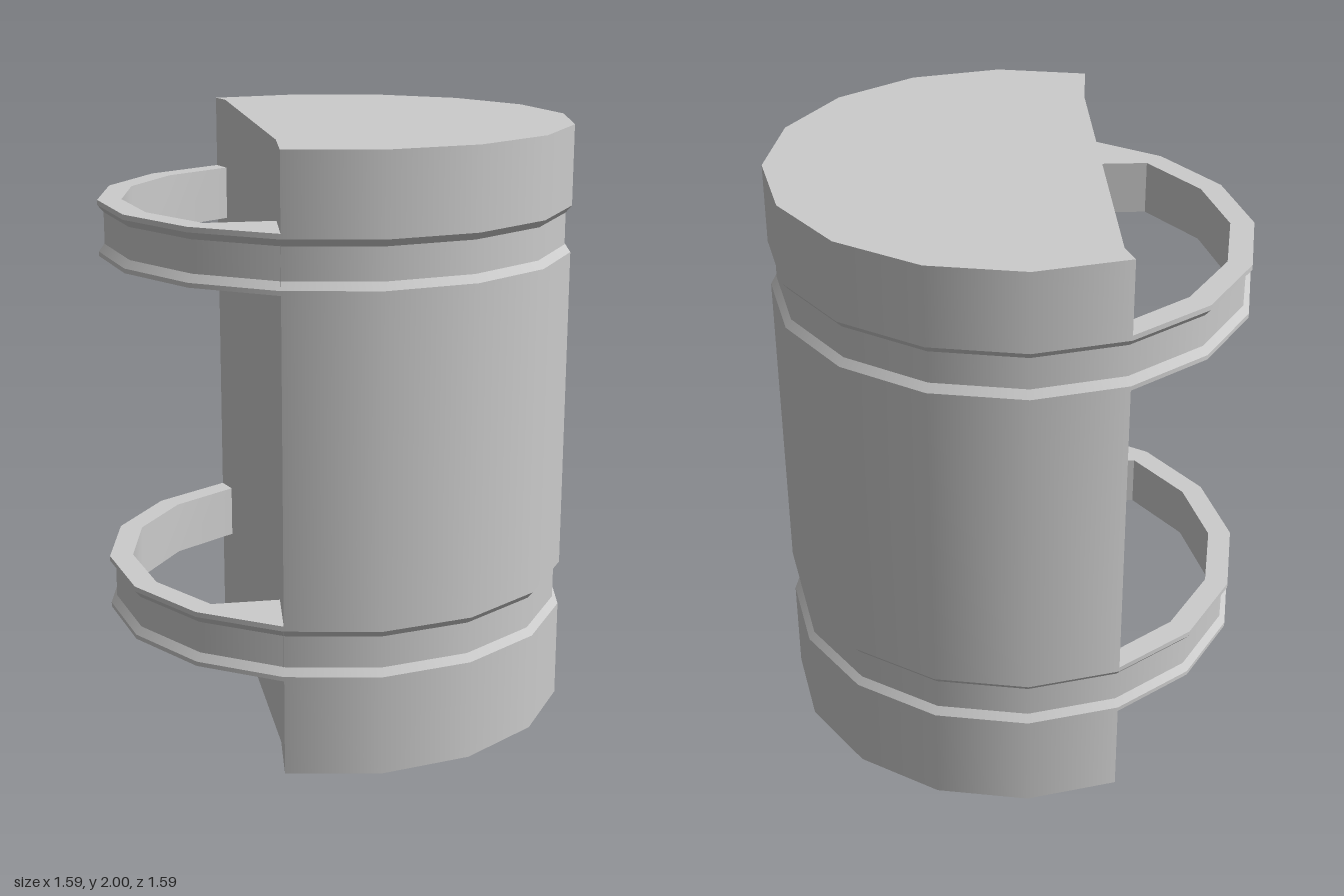
import * as THREE from 'three';
import { mergeGeometries, toCreasedNormals } from 'three/addons/utils/BufferGeometryUtils.js';

const R = 0.795, GROOVE_R = 0.775, STEP = Math.PI / 8;
const grooveBases = [0.32, 1.565];
const RING_H = 0.187;

// Point [x, z] on the 16-sided outline
const rim = (i, r = R) => [r * Math.sin(i * STEP), r * Math.cos(i * STEP)];
const rims = (from, to) => Array.from({ length: to - from + 1 }, (_, i) => rim(from + i));

// Groove profile [radius, y] above the base of a ring
const groove = (y) => [[R, y + 0.015], [GROOVE_R, y + 0.04], [GROOVE_R, y + 0.146], [R, y + 0.17]];

// Smooth round the axis, sharp between the profile's bands
function bands(profile, from, to) {
  const parts = [];
  for (let i = 0; i < profile.length - 1; i++) {
    const pair = [profile[i], profile[i + 1]].map(([r, y]) => new THREE.Vector2(r, y));
    parts.push(new THREE.LatheGeometry(pair, to - from, from * STEP, (to - from) * STEP));
  }
  return parts.map((g) => g.toNonIndexed());
}

// Vertical wall along a path of [x, z] points
function wall(path, y0, y1) {
  const pos = [];
  for (let i = 0; i < path.length - 1; i++) {
    const [[ax, az], [bx, bz]] = [path[i], path[i + 1]];
    pos.push(ax, y0, az, bx, y0, bz, bx, y1, bz, ax, y0, az, bx, y1, bz, ax, y1, az);
  }
  const g = new THREE.BufferGeometry();
  g.setAttribute('position', new THREE.Float32BufferAttribute(pos, 3));
  g.setAttribute('uv', new THREE.Float32BufferAttribute(new Float32Array(pos.length / 3 * 2), 2));
  return toCreasedNormals(g, Math.PI / 6);
}

// Flat horizontal face facing up or down
function cap(outline, y, up) {
  const shape = new THREE.Shape(outline.map(([x, z]) => new THREE.Vector2(x, up ? -z : z)));
  const g = new THREE.ShapeGeometry(shape);
  g.rotateX(up ? -Math.PI / 2 : Math.PI / 2);
  return g.translate(0, y, 0).toNonIndexed();
}

export function createModel() {
  const group = new THREE.Group();
  const material = new THREE.MeshStandardMaterial({ color: 0xcccccc });
  const add = (name, parts) => {
    const mesh = new THREE.Mesh(mergeGeometries(parts), material);
    mesh.name = name;
    group.add(mesh);
  };

  // Drum with two grooves and one side cut away
  const cutBack = [-0.28, -0.66], cutFront = [-0.28, 0.51];
  const profile = [[R, 0], ...grooveBases.flatMap(groove), [R, 2]];
  const outline = [...rims(-1, 9), cutBack, cutFront];
  add('drum', [
    ...bands(profile, -1, 9),
    wall([rim(9), cutBack, cutFront, rim(-1)], 0, 2),
    cap(outline, 2, true),
    cap(outline, 0, false),
  ]);

  // Rings that carry the grooves across the open side
  const inner = [
    cutFront, [-0.505, 0.505], [-0.66, 0.275], [-0.715, 0],
    [-0.66, -0.275], [-0.505, -0.505], cutBack,
  ];
  const ringOutline = [...rims(9, 15), ...inner];
  grooveBases.forEach((y, i) => {
    add(i ? 'upperRing' : 'lowerRing', [
      ...bands([[R, y], ...groove(y), [R, y + RING_H]], 9, 15),
      wall(inner, y, y + RING_H),
      cap(ringOutline, y + RING_H, true),
      cap(ringOutline, y, false),
    ]);
  });
  return group;
}
